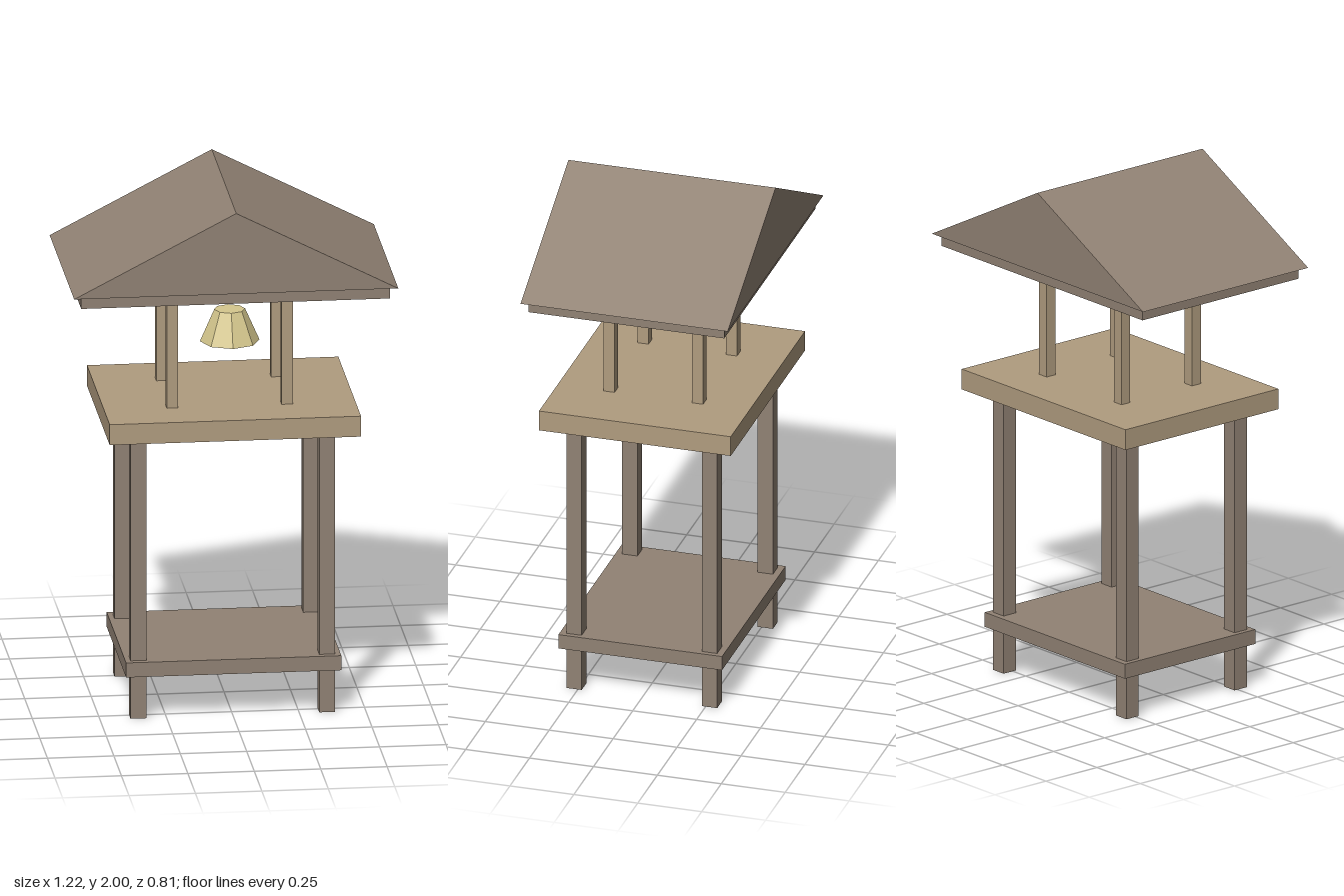
import * as THREE from 'three';

export function createModel() {
  const model = new THREE.Group();
  const mat = (name, color, flat = false) => {
    const m = new THREE.MeshStandardMaterial({ color, flatShading: flat });
    m.name = name;
    return m;
  };
  const darkWood = mat('weatheredWood', 0x918274);
  const paleWood = mat('paleWood', 0xb09c7f);
  const brass = mat('brass', 0xd6c88e, true);

  const add = (name, geometry, material, x, y, z) => {
    const mesh = new THREE.Mesh(geometry, material);
    mesh.name = name;
    mesh.position.set(x, y, z);
    model.add(mesh);
    return mesh;
  };
  // Box given by its width, depth and bottom and top heights
  const box = (name, material, w, d, y0, y1, x = 0, z = 0) =>
    add(name, new THREE.BoxGeometry(w, y1 - y0, d), material, x, (y0 + y1) / 2, z);

  // Legs and upper posts, one at each corner
  for (const sx of [-1, 1]) {
    for (const sz of [-1, 1]) {
      box('leg', darkWood, 0.06, 0.06, 0, 1.1, sx * 0.355, sz * 0.265);
      box('roofPost', paleWood, 0.043, 0.043, 1.18, 1.64, sx * 0.216, sz * 0.173);
    }
  }

  // Lower shelf, platform and eave board
  box('lowerShelf', darkWood, 0.81, 0.64, 0.17, 0.227);
  box('platform', paleWood, 0.946, 0.75, 1.1, 1.18);
  box('eaveBoard', darkWood, 1.162, 0.766, 1.64, 1.685);

  // Gabled roof
  const gable = new THREE.Shape();
  gable.moveTo(-0.61, 0);
  gable.lineTo(0.61, 0);
  gable.lineTo(0, 0.315);
  gable.closePath();
  const roof = new THREE.ExtrudeGeometry(gable, { depth: 0.81, bevelEnabled: false });
  add('roof', roof, darkWood, 0, 1.685, -0.405);

  // Bell below its beam at the front
  box('bellBeam', darkWood, 0.525, 0.038, 1.59, 1.64, 0, 0.185);
  add('bell', new THREE.CylinderGeometry(0.058, 0.112, 0.123, 8), brass, 0, 1.497, 0.185);

  return model;
}
